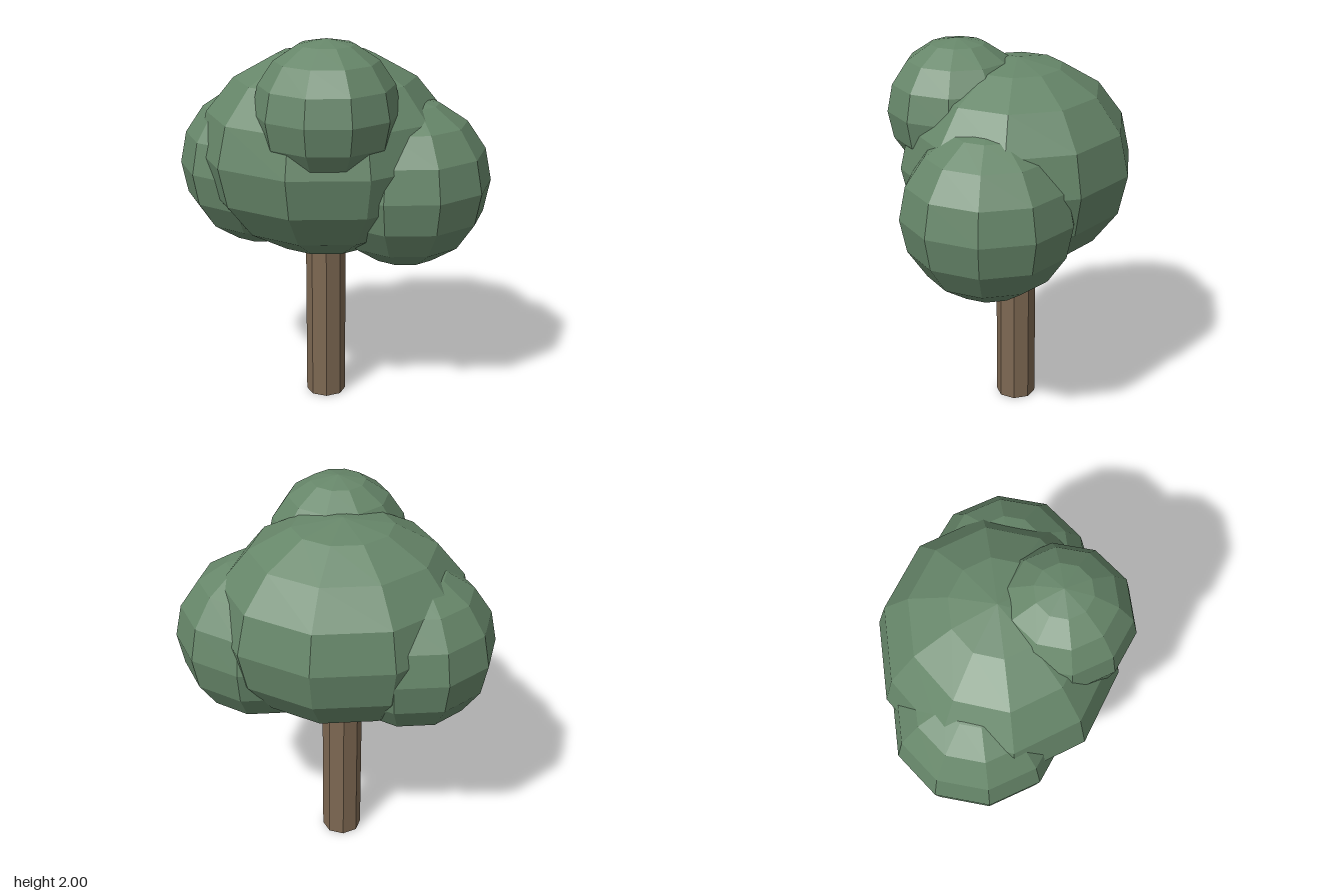
import * as THREE from 'three';

export function createModel() {
  const tree = new THREE.Group();
  tree.name = 'tree';

  const leafGreen = new THREE.MeshStandardMaterial({ color: 0x67876a, flatShading: true });
  leafGreen.name = 'leaf green';
  const barkBrown = new THREE.MeshStandardMaterial({ color: 0x7d6852, flatShading: true });
  barkBrown.name = 'bark brown';

  // Eight-sided trunk, reaching up into the crown
  const trunkHeight = 1.1;
  const trunk = new THREE.Mesh(
    new THREE.CylinderGeometry(0.105, 0.105, trunkHeight, 8), barkBrown);
  trunk.name = 'trunk';
  trunk.position.set(-0.045, trunkHeight / 2, -0.035);
  tree.add(trunk);

  // Faceted leaf clumps: name, centre, radii
  const clumps = [
    ['crownMain', [-0.045, 1.37, -0.04], [0.66, 0.54, 0.6]],
    ['crownLeft', [0.36, 1.23, 0.06], [0.445, 0.44, 0.443]],
    ['crownRight', [-0.375, 1.27, -0.175], [0.433, 0.43, 0.433]],
    ['crownFrontTop', [-0.045, 1.64, 0.26], [0.363, 0.36, 0.363]],
  ];
  for (const [name, centre, radii] of clumps) {
    const geometry = new THREE.SphereGeometry(1, 10, 8).scale(...radii);
    const clump = new THREE.Mesh(geometry, leafGreen);
    clump.name = name;
    clump.position.set(...centre);
    tree.add(clump);
  }

  return tree;
}
